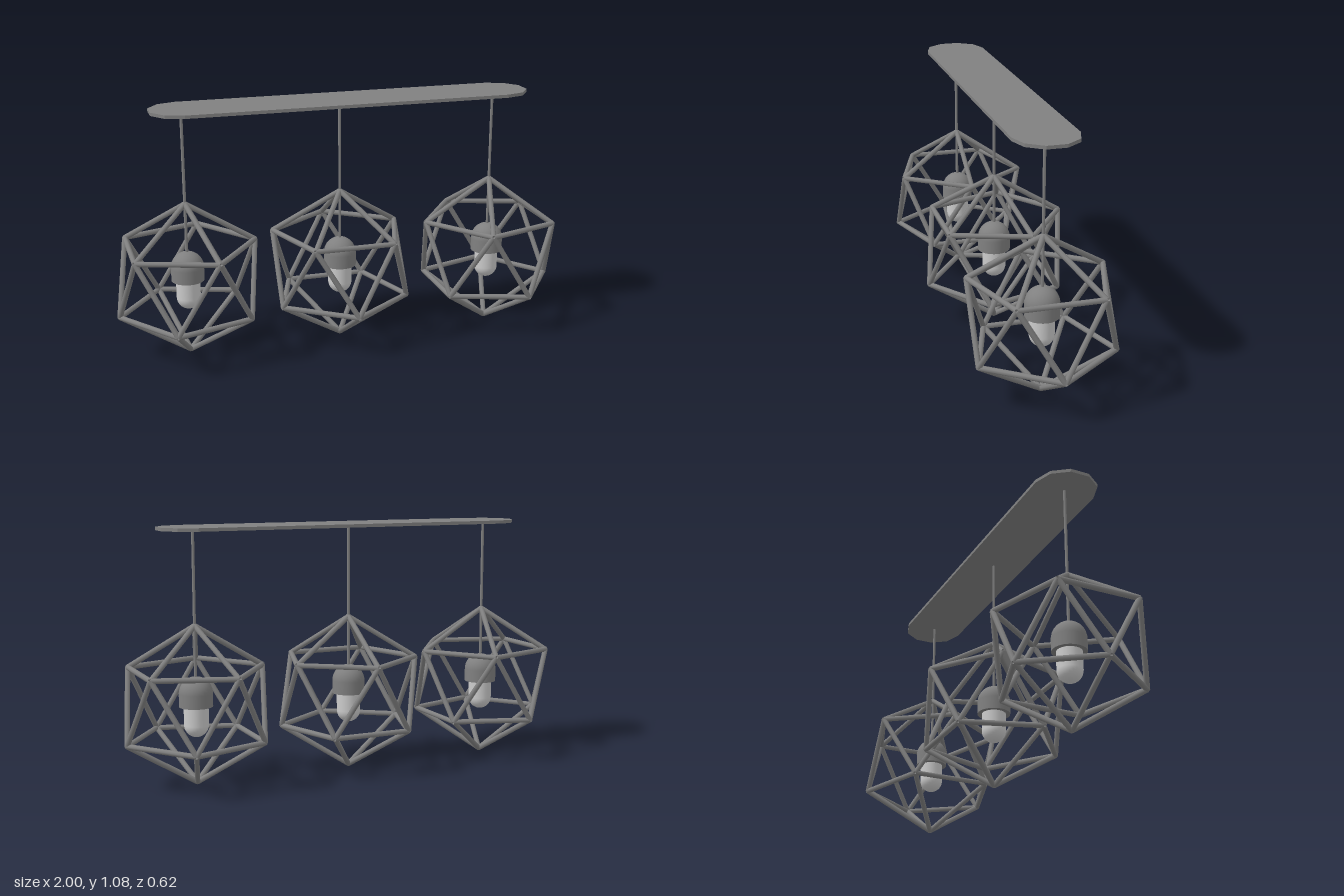
import * as THREE from 'three';

const CAGE_Y = 0.3425, CAGE_R = 0.332, STRUT_R = 0.0115, PLATE_Y = 1.069;
const metal = new THREE.MeshStandardMaterial({ color: 0x808080 });
const glass = new THREE.MeshStandardMaterial({ color: 0xcccccc });

function add(parent, name, geometry, material = metal) {
  const mesh = new THREE.Mesh(geometry, material);
  mesh.name = name;
  parent.add(mesh);
  return mesh;
}

// Round bar between two points
function bar(parent, name, a, b, radius) {
  const dir = b.clone().sub(a);
  const mesh = add(parent, name, new THREE.CylinderGeometry(radius, radius, dir.length(), 8));
  mesh.position.copy(a).add(b).multiplyScalar(0.5);
  mesh.quaternion.setFromUnitVectors(new THREE.Vector3(0, 1, 0), dir.normalize());
}

// Icosahedral wire cage; angle points to one corner of the upper ring
function createCage(angle) {
  const cage = new THREE.Group();
  cage.name = 'cage';
  const h = CAGE_R / Math.sqrt(5), r = 2 * h;
  const ring = (y, start) => Array.from({ length: 5 }, (_, i) => {
    const t = start + i * Math.PI * 2 / 5;
    return new THREE.Vector3(r * Math.cos(t), y, r * Math.sin(t));
  });
  const upper = ring(h, angle), lower = ring(-h, angle + Math.PI / 5);
  const top = new THREE.Vector3(0, CAGE_R, 0), bottom = new THREE.Vector3(0, -CAGE_R, 0);
  for (let i = 0; i < 5; i++) {
    const j = (i + 1) % 5;
    const edges = [
      [top, upper[i]], [upper[i], upper[j]], [upper[i], lower[i]],
      [lower[i], upper[j]], [lower[i], lower[j]], [lower[i], bottom],
    ];
    for (const [a, b] of edges) bar(cage, 'strut', a, b, STRUT_R);
  }
  cage.position.y = CAGE_Y;
  return cage;
}

function arc(radius, y, from, to, steps) {
  return Array.from({ length: steps + 1 }, (_, i) => {
    const t = from + (to - from) * i / steps;
    return new THREE.Vector2(Math.max(0, radius * Math.cos(t)), y + radius * Math.sin(t));
  });
}

function createPendant(x, angle) {
  const pendant = new THREE.Group();
  pendant.name = 'pendant';
  pendant.position.x = x;
  pendant.add(createCage(angle));
  bar(pendant, 'rod', new THREE.Vector3(0, 0.45, 0), new THREE.Vector3(0, PLATE_Y + 0.003, 0), 0.0065);

  // Domed socket with its flat underside
  add(pendant, 'socket', new THREE.LatheGeometry(
    [new THREE.Vector2(0.071, 0.335), ...arc(0.071, 0.391, 0, Math.PI / 2, 10)], 24));
  const base = add(pendant, 'socketBase', new THREE.CircleGeometry(0.071, 24));
  base.rotation.x = Math.PI / 2;
  base.position.y = 0.335;

  // Round-ended bulb
  add(pendant, 'bulb', new THREE.LatheGeometry(
    [...arc(0.052, 0.257, -Math.PI / 2, 0, 10), new THREE.Vector2(0.052, 0.34)], 24), glass);
  return pendant;
}

// Ceiling plate with faceted round ends
function createPlate() {
  const r = 0.134, half = 0.7, sides = 5, points = [];
  for (const end of [0, 1]) {
    for (let i = 0; i <= sides; i++) {
      const t = -Math.PI / 2 + Math.PI * (end + i / sides);
      points.push(new THREE.Vector2((end ? -half : half) + r * Math.cos(t), r * Math.sin(t)));
    }
  }
  const geometry = new THREE.ExtrudeGeometry(new THREE.Shape(points), { depth: 0.014, bevelEnabled: false });
  return geometry.rotateX(-Math.PI / 2).translate(0.007, PLATE_Y, 0);
}

export function createModel() {
  const model = new THREE.Group();
  model.name = 'pendantLamp';
  add(model, 'ceilingPlate', createPlate());
  const pendants = [[-0.69, 0], [-0.012, -Math.PI / 2], [0.69, Math.PI]];
  for (const [x, angle] of pendants) model.add(createPendant(x, angle));
  return model;
}
